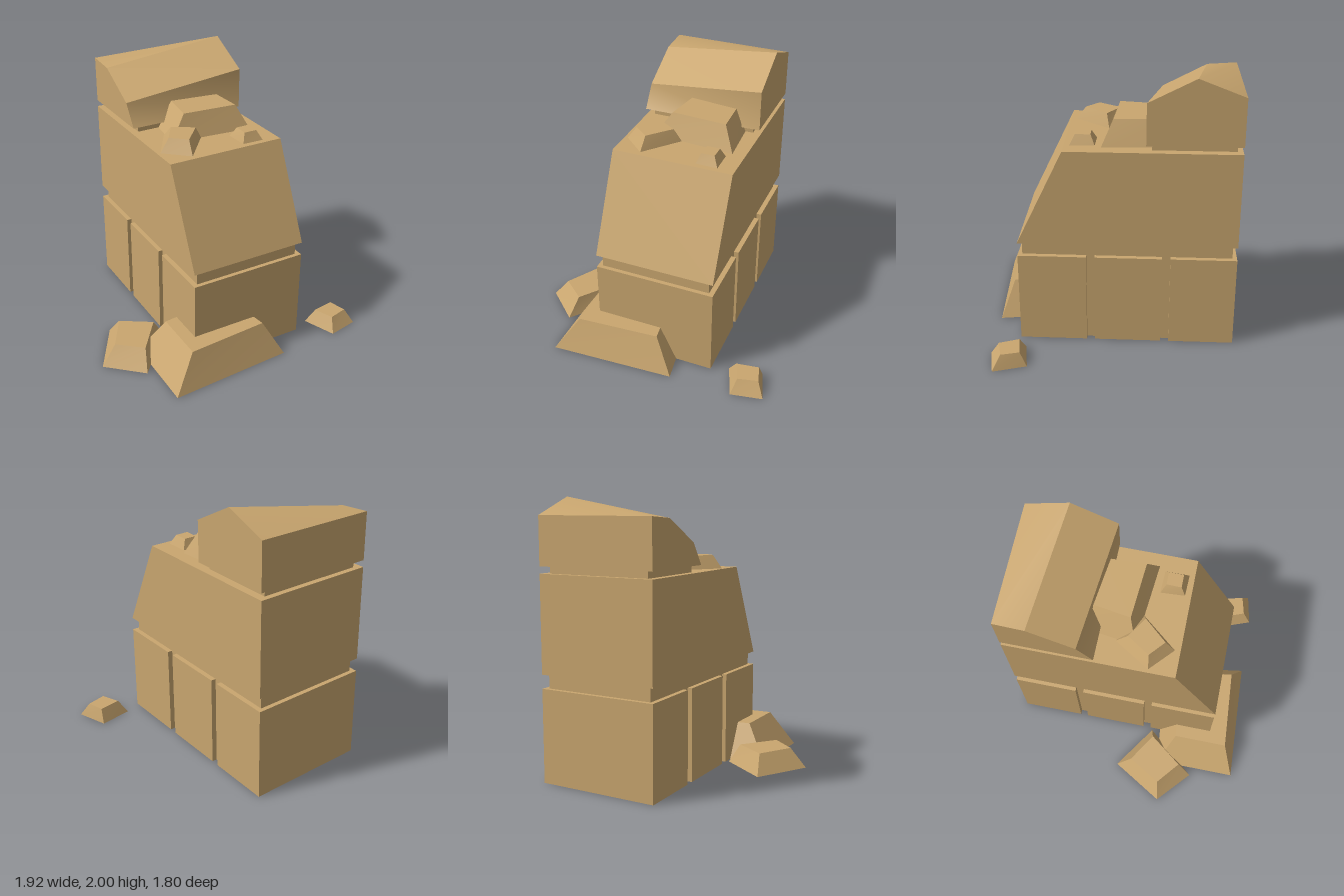
import * as THREE from 'three';

const sandstone = new THREE.MeshStandardMaterial({ color: 0xc9a66f });
sandstone.name = 'sandstone';

// Solid between two matching outlines, listed clockwise as seen from the second one.
// Every face has its own corners, so edges stay sharp.
function loft(name, a, b) {
  const pos = [], index = [];
  const face = (...pts) => {
    const s = pos.length / 3;
    pts.forEach((p) => pos.push(...p));
    for (let i = 1; i < pts.length - 1; i++) index.push(s, s + i, s + i + 1);
  };
  a.forEach((p, i) => {
    const j = (i + 1) % a.length;
    face(a[j], p, b[i], b[j]);
  });
  face(...a);
  face(...[...b].reverse());
  const geo = new THREE.BufferGeometry();
  geo.setAttribute('position', new THREE.Float32BufferAttribute(pos, 3));
  geo.setIndex(index);
  geo.computeVertexNormals();
  const mesh = new THREE.Mesh(geo, sandstone);
  mesh.name = name;
  return mesh;
}

// Box given by its limits
function block(name, x0, x1, y0, y1, z0, z1) {
  const mesh = new THREE.Mesh(new THREE.BoxGeometry(x1 - x0, y1 - y0, z1 - z0), sandstone);
  mesh.position.set((x0 + x1) / 2, (y0 + y1) / 2, (z0 + z1) / 2);
  mesh.name = name;
  return mesh;
}

// Tapered boulder: base and top corners as [x, z], from back left round to front left
function boulder(name, y0, y1, base, top) {
  const at = (y) => ([x, z]) => [x, y, z];
  return loft(name, base.map(at(y0)), top.map(at(y1)));
}

export function createModel() {
  const model = new THREE.Group();
  model.name = 'rockPillar';
  const L = -0.38, R = 0.515, BACK = -0.9;

  // Lower course: three blocks around a recessed core
  [[0.17, 0.66], [-0.37, 0.11], [BACK, -0.43]].forEach(([z0, z1], i) =>
    model.add(block('lowerBlock' + (i + 1), L, R, 0, 0.68, z0, z1)));
  model.add(block('lowerCore', -0.345, 0.478, 0, 0.79, -0.868, 0.63));

  // Middle block with a sloping front
  const slope = [[0.78, 0.66], [1.48, 0.325], [1.48, BACK], [0.78, BACK]];
  model.add(loft('middleBlock',
    slope.map(([y, z]) => [L, y, z]),
    slope.map(([y, z]) => [R, y, z])));

  // Cap on its recessed neck, with a ridge that sinks towards one side
  model.add(block('neck', -0.325, 0.455, 1.47, 1.54, -0.86, -0.285));
  const capLow = [[1.53, -0.245], [1.69, -0.355], [1.86, -0.68], [1.875, BACK], [1.53, BACK]];
  const capHigh = [[1.53, -0.245], [1.83, -0.245], [2.0, -0.575], [1.875, BACK], [1.53, BACK]];
  model.add(loft('cap',
    capLow.map(([y, z]) => [L, y, z]),
    capHigh.map(([y, z]) => [R, y, z])));

  // Boulders on the ground
  model.add(boulder('frontBoulder', 0, 0.262,
    [[-0.65, 0.28], [0.17, 0.2], [0.27, 0.85], [-0.65, 0.9]],
    [[-0.475, 0.395], [0.07, 0.34], [0.13, 0.757], [-0.475, 0.8]]));
  model.add(boulder('rightBoulder', 0, 0.142,
    [[-0.74, -0.04], [-0.4, 0.19], [-0.715, 0.565], [-0.965, 0.34]],
    [[-0.705, 0.07], [-0.485, 0.21], [-0.675, 0.46], [-0.85, 0.315]]));
  model.add(boulder('leftBoulder', 0, 0.105,
    [[0.64, 0.605], [0.885, 0.565], [0.96, 0.8], [0.73, 0.845]],
    [[0.705, 0.64], [0.87, 0.615], [0.905, 0.745], [0.76, 0.78]]));

  // Boulders on the ledge
  model.add(boulder('ledgeBoulderLarge', 1.48, 1.657,
    [[-0.14, -0.42], [0.39, -0.4], [0.42, 0.065], [-0.2, 0.01]],
    [[-0.03, -0.34], [0.325, -0.32], [0.338, -0.015], [-0.075, -0.045]]));
  model.add(boulder('ledgeBoulderMedium', 1.48, 1.577,
    [[-0.195, -0.13], [0.025, 0.03], [-0.185, 0.285], [-0.355, 0.13]],
    [[-0.18, -0.045], [-0.03, 0.05], [-0.175, 0.215], [-0.285, 0.12]]));
  model.add(boulder('ledgeBoulderSmall', 1.48, 1.55,
    [[0.22, 0.105], [0.388, 0.11], [0.39, 0.285], [0.23, 0.28]],
    [[0.26, 0.14], [0.355, 0.14], [0.355, 0.248], [0.257, 0.248]]));

  return model;
}
